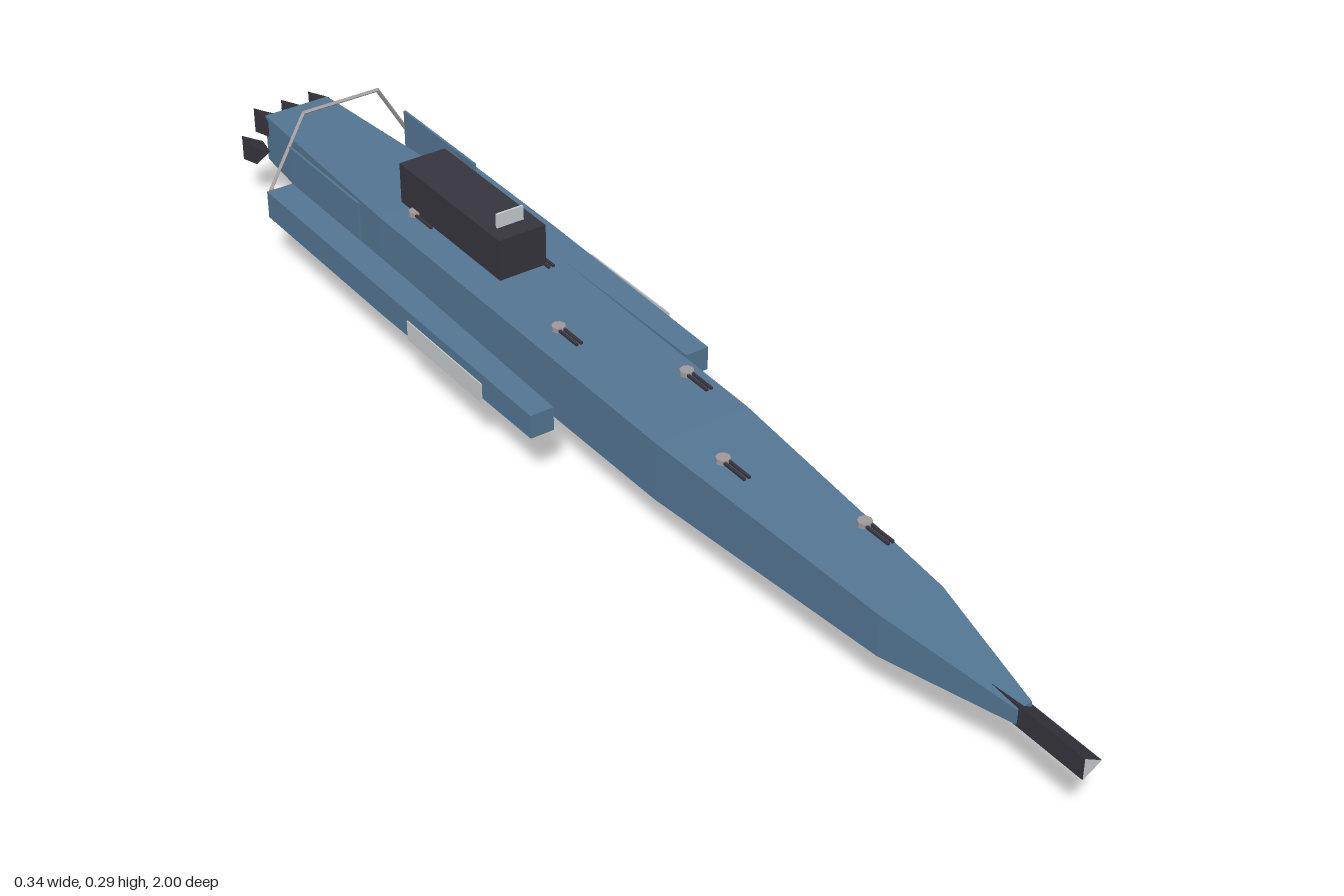
import * as THREE from 'three';

const mat = (name, color, extra = {}) =>
  new THREE.MeshStandardMaterial({ name, color, flatShading: true, ...extra });

// Box-section loft through rows of [z, centreY, halfWidth, halfHeight], front to back
function loft(rows) {
  const pos = [], idx = [], n = rows.length;
  for (const [z, cy, hx, hy] of rows)
    for (const [sx, sy] of [[-1, -1], [1, -1], [1, 1], [-1, 1]]) pos.push(sx * hx, cy + sy * hy, z);
  for (let r = 0; r < n - 1; r++)
    for (let i = 0; i < 4; i++) {
      const a = r * 4 + i, b = r * 4 + (i + 1) % 4, c = b + 4, d = a + 4;
      idx.push(a, d, c, a, c, b);
    }
  const e = (n - 1) * 4;
  idx.push(0, 1, 2, 0, 2, 3, e, e + 2, e + 1, e, e + 3, e + 2);
  const g = new THREE.BufferGeometry();
  g.setAttribute('position', new THREE.Float32BufferAttribute(pos, 3));
  g.setIndex(idx);
  const flat = g.toNonIndexed();
  flat.computeVertexNormals();
  return flat;
}

// Three-sided tube along z with one corner towards +x
const triTube = (rFront, rBack, len) =>
  new THREE.CylinderGeometry(rFront, rBack, len, 3, 1, false, Math.PI / 2).rotateX(Math.PI / 2);

export function createModel() {
  const model = new THREE.Group();
  model.name = 'spaceship';
  const blue = mat('hullBlue', 0x537592);
  const dark = mat('darkMetal', 0x36343c);
  const light = mat('paleGlow', 0xc6cacc);
  const grey = mat('ringGrey', 0x9e9898);

  const add = (name, geo, material, x = 0, y = 0, z = 0, parent = model) => {
    const m = new THREE.Mesh(geo, material);
    m.name = name;
    m.position.set(x, y, z);
    parent.add(m);
    return m;
  };
  const box = (w, h, d) => new THREE.BoxGeometry(w, h, d);

  // Hull
  add('hull', loft([
    [0.88, 0.125, 0.013, 0.012],
    [0.66, 0.125, 0.053, 0.034],
    [0.20, 0.125, 0.080, 0.049],
    [-0.55, 0.125, 0.085, 0.055],
    [-0.97, 0.125, 0.060, 0.042],
  ]), blue);

  // Nose gun with pale muzzle
  add('noseGun', triTube(0.02, 0.02, 0.17), [dark, light, dark], 0, 0.125, 0.915);

  // Engines: three above, four below
  const engineGeo = triTube(0.018, 0.026, 0.04);
  for (const [count, y] of [[3, 0.147], [4, 0.102]])
    for (let i = 0; i < count; i++)
      add('engine', engineGeo, [dark, dark, light], (i - (count - 1) / 2) * 0.053, y, -0.98);

  // Side pods, pale panels and fins
  const podGeo = loft([
    [0, 0.118, 0.020, 0.020],
    [-0.42, 0.118, 0.0235, 0.024],
    [-0.78, 0.118, 0.0235, 0.024],
  ]);
  for (const s of [1, -1]) {
    add('sidePod', podGeo, blue, s * 0.139, 0, 0);
    add('podPanel', box(0.002, 0.034, 0.21), light, s * 0.17, 0.117, -0.22);
    add('sideFin', box(0.004, 0.156, 0.22), blue, s * 0.109, 0.126, -0.68);
  }

  // Hexagonal ring around the tail
  add('tailRing', new THREE.TorusGeometry(0.14, 0.004, 4, 6), grey, 0, 0.125, -0.81);

  // Bridge block with upright plate
  add('bridge', box(0.084, 0.07, 0.29), dark, 0, 0.228, -0.405);
  add('bridgePlate', box(0.048, 0.024, 0.004), light, 0, 0.275, -0.295);

  // Twin-barrel guns, alternating left and right
  const baseGeo = new THREE.CylinderGeometry(0.011, 0.011, 0.008, 8);
  const topBarrel = box(0.004, 0.004, 0.055), lowBarrel = box(0.004, 0.003, 0.047);
  for (let i = 0; i < 6; i++) {
    const turret = new THREE.Group();
    turret.name = 'topTurret';
    turret.position.set(i % 2 ? -0.043 : 0.043, i ? 0.195 : 0.175, 0.51 - i * 0.203);
    add('turretBase', baseGeo, grey, 0, 0, 0, turret);
    for (const s of [1, -1]) add('turretBarrel', topBarrel, dark, s * 0.004, 0, 0.0275, turret);
    model.add(turret);
  }
  for (let i = 0; i < 5; i++)
    for (const s of [1, -1])
      add('bellyBarrel', lowBarrel, dark, (i % 2 ? 0.043 : -0.043) + s * 0.004, i ? 0.057 : 0.08, 0.445 - i * 0.202);

  return model;
}
